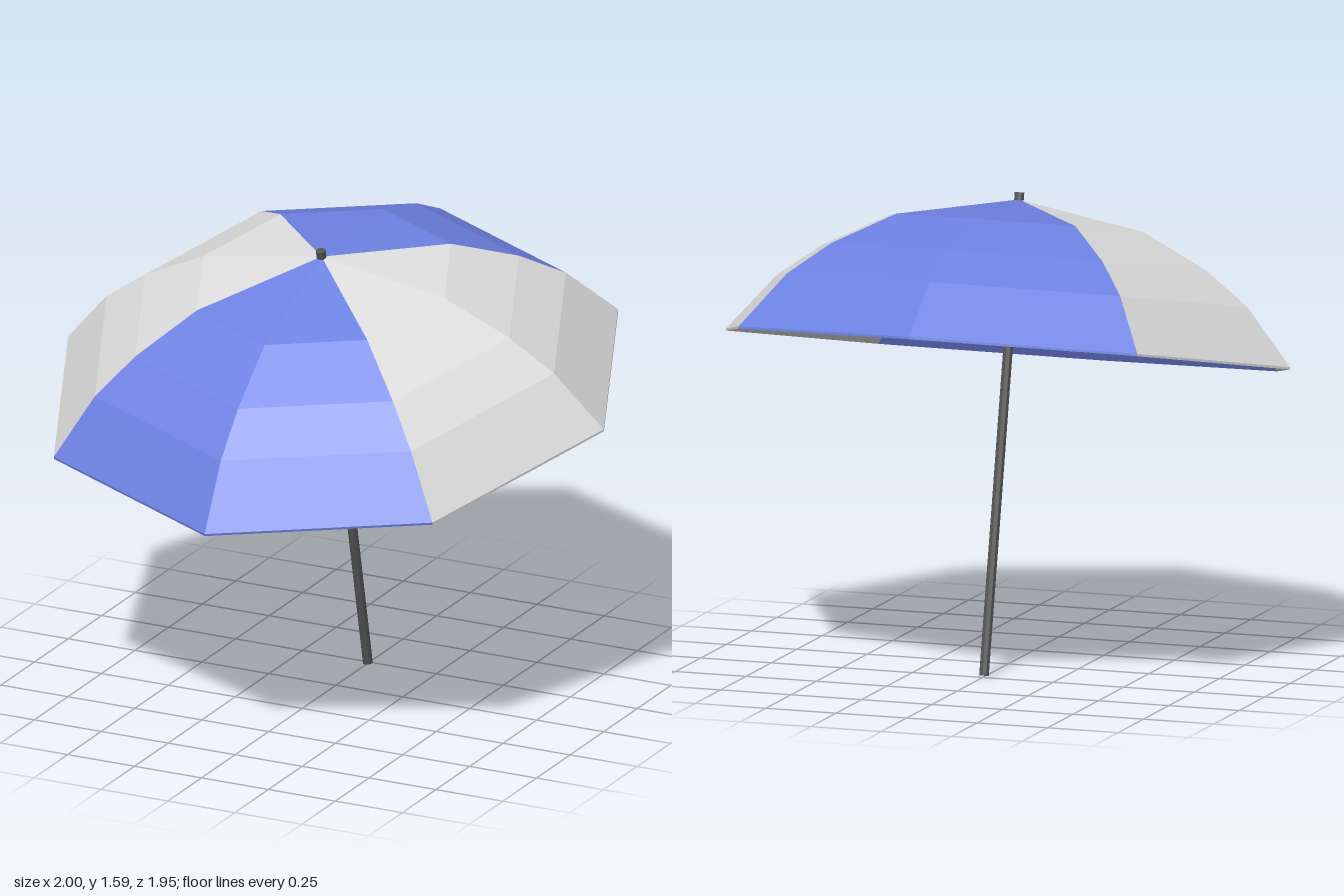
import * as THREE from 'three';

const TILT = 0.218;      // lean of the whole umbrella towards the front
const RIM_Y = 1.075;     // height of the rim centre
const SHELL = 0.008;     // cloth thickness

// Facetted copy of a geometry
function facet(geometry) {
  const g = geometry.toNonIndexed();
  g.computeVertexNormals();
  return g;
}

export function createModel() {
  const blue = new THREE.MeshStandardMaterial({ color: 0x6c80e0 });
  blue.name = 'blue cloth';
  const white = new THREE.MeshStandardMaterial({ color: 0xdcdcdc });
  white.name = 'white cloth';
  const grey = new THREE.MeshStandardMaterial({ color: 0x555555 });
  grey.name = 'dark grey pole';

  const model = new THREE.Group();
  model.name = 'parasol';
  const tilted = new THREE.Group();
  tilted.name = 'tiltedParasol';
  tilted.position.y = RIM_Y;
  tilted.rotation.x = TILT;
  model.add(tilted);

  // Closed rib profile: outer skin rim to apex, then inner skin back to the rim
  const outer = [[1, 0], [0.835, 0.19], [0.68, 0.302], [0.45, 0.416], [0, 0.496]];
  const inner = outer.map(([r, y]) => [r, y - SHELL]).reverse();
  const profile = [...outer, ...inner, outer[0]].map(([r, y]) => new THREE.Vector2(r, y));

  // Four two-facet panels in alternating colours, making an eight-sided canopy
  const canopy = new THREE.Group();
  canopy.name = 'canopy';
  ['frontPanel', 'leftPanel', 'backPanel', 'rightPanel'].forEach((name, i) => {
    const start = -Math.PI / 4 + (i * Math.PI) / 2;
    const panel = new THREE.Mesh(
      facet(new THREE.LatheGeometry(profile, 2, start, Math.PI / 2)),
      i % 2 ? white : blue
    );
    panel.name = name;
    canopy.add(panel);
  });
  tilted.add(canopy);

  // Pole running through the canopy, its tip showing above the apex
  const bottom = -1.098, top = 0.52;
  const pole = new THREE.Mesh(
    facet(new THREE.CylinderGeometry(0.017, 0.017, top - bottom, 8)),
    grey
  );
  pole.name = 'pole';
  pole.position.y = (top + bottom) / 2;
  tilted.add(pole);

  return model;
}
